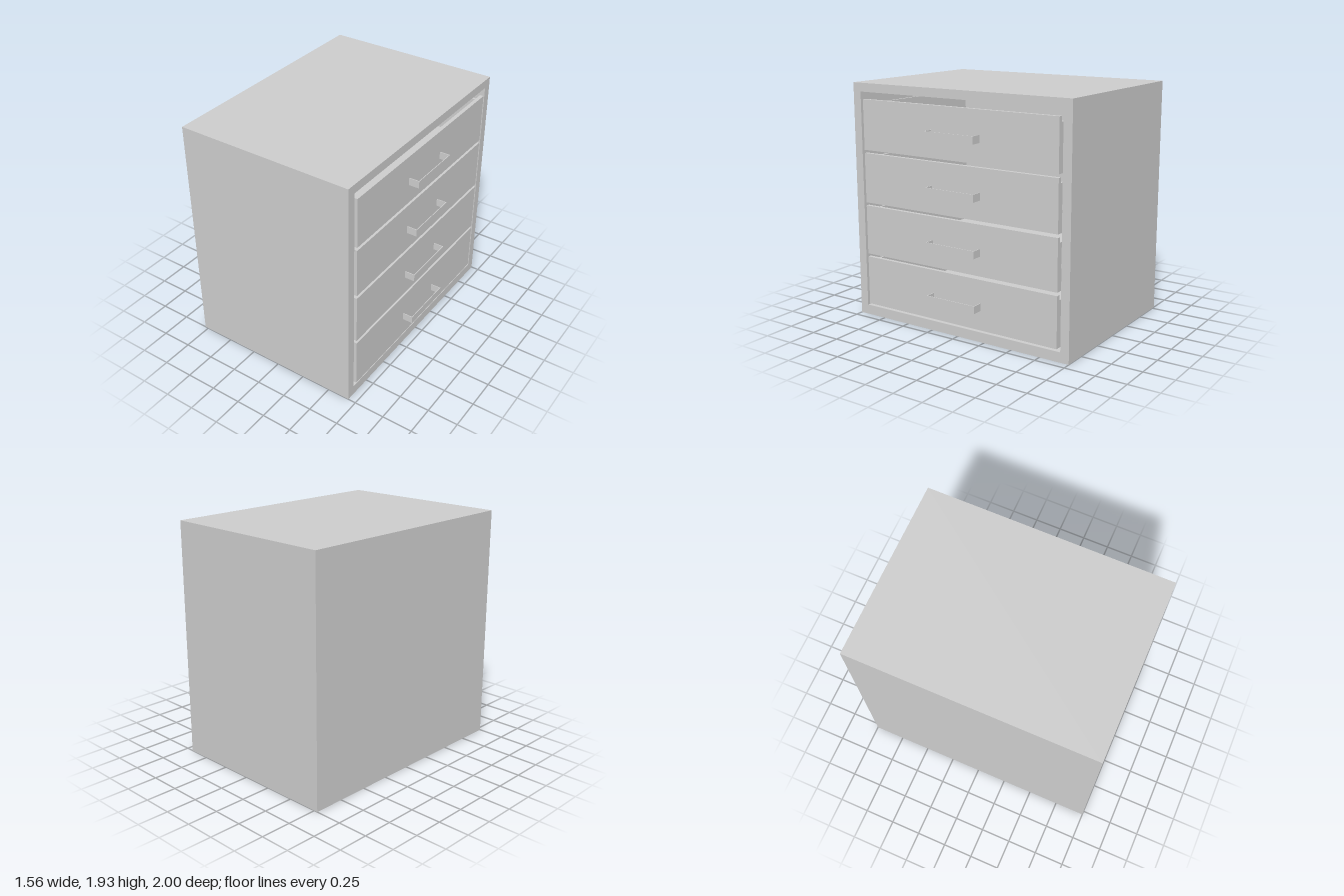
import * as THREE from 'three';

const material = new THREE.MeshStandardMaterial({ color: 0xcccccc });
const BACK = -0.78, FRONT = 0.685, HEIGHT = 1.93;

// Box given by its min and max corners
function box(name, [x0, y0, z0], [x1, y1, z1]) {
  const mesh = new THREE.Mesh(new THREE.BoxGeometry(x1 - x0, y1 - y0, z1 - z0), material);
  mesh.position.set((x0 + x1) / 2, (y0 + y1) / 2, (z0 + z1) / 2);
  mesh.name = name;
  return mesh;
}

function rectangle(path, x0, y0, x1, y1) {
  return path.moveTo(x0, y0).lineTo(x1, y0).lineTo(x1, y1).lineTo(x0, y1).closePath();
}

// Outer case: a rectangular sleeve closed by a back panel
function makeCabinet() {
  const cabinet = new THREE.Group();
  cabinet.name = 'cabinet';
  const outline = rectangle(new THREE.Shape(), -1, 0, 1, HEIGHT);
  outline.holes.push(rectangle(new THREE.Path(), -0.928, 0.08, 0.928, 1.86));
  const geometry = new THREE.ExtrudeGeometry(outline, { depth: FRONT - BACK, bevelEnabled: false });
  geometry.rotateY(Math.PI / 2).translate(BACK, 0, 0);
  const shell = new THREE.Mesh(geometry, material);
  shell.name = 'cabinetShell';
  cabinet.add(shell, box('backPanel', [BACK, 0.08, -0.928], [BACK + 0.05, 1.86, 0.928]));
  return cabinet;
}

// Thin strap bent into a U, open at top and bottom
function makeHandle(y) {
  const t = 0.006, x0 = 0.685, x1 = 0.776, w = 0.227, h = 0.03;
  const handle = new THREE.Group();
  handle.name = 'handle';
  handle.add(box('handleGrip', [x1 - t, y - h, -w], [x1, y + h, w]));
  for (const s of [-1, 1]) {
    const a = s * w, b = s * (w - t);
    handle.add(box('handleLeg', [x0, y - h, Math.min(a, b)], [x1 - t, y + h, Math.max(a, b)]));
  }
  return handle;
}

// Drawer: front panel, open tray behind it, side runners and a handle
function makeDrawer(bottom, top, handleY) {
  const drawer = new THREE.Group();
  drawer.name = 'drawer';
  const x0 = -0.68, xf = 0.66, rim = top - 0.04;
  drawer.add(
    box('drawerFront', [xf, bottom, -0.9], [0.691, top, 0.9]),
    box('drawerBottom', [x0, bottom, -0.9], [xf, bottom + 0.02, 0.9]),
    box('drawerBack', [x0, bottom + 0.02, -0.88], [x0 + 0.02, rim, 0.88]),
    makeHandle(handleY)
  );
  for (const s of [-1, 1]) {
    const z = s * 0.89, r = s * 0.914;
    drawer.add(
      box('drawerSide', [x0, bottom + 0.02, z - 0.01], [xf, rim, z + 0.01]),
      box('runner', [x0, handleY - 0.02, r - 0.014], [xf - 0.02, handleY + 0.02, r + 0.014])
    );
  }
  return drawer;
}

export function createModel() {
  const model = new THREE.Group();
  model.name = 'drawerCabinet';
  model.add(makeCabinet());
  for (let i = 0; i < 4; i++) {
    const bottom = 0.1 + i * 0.432;
    model.add(makeDrawer(bottom, bottom + 0.406, 0.289 + i * 0.432));
  }
  return model;
}
